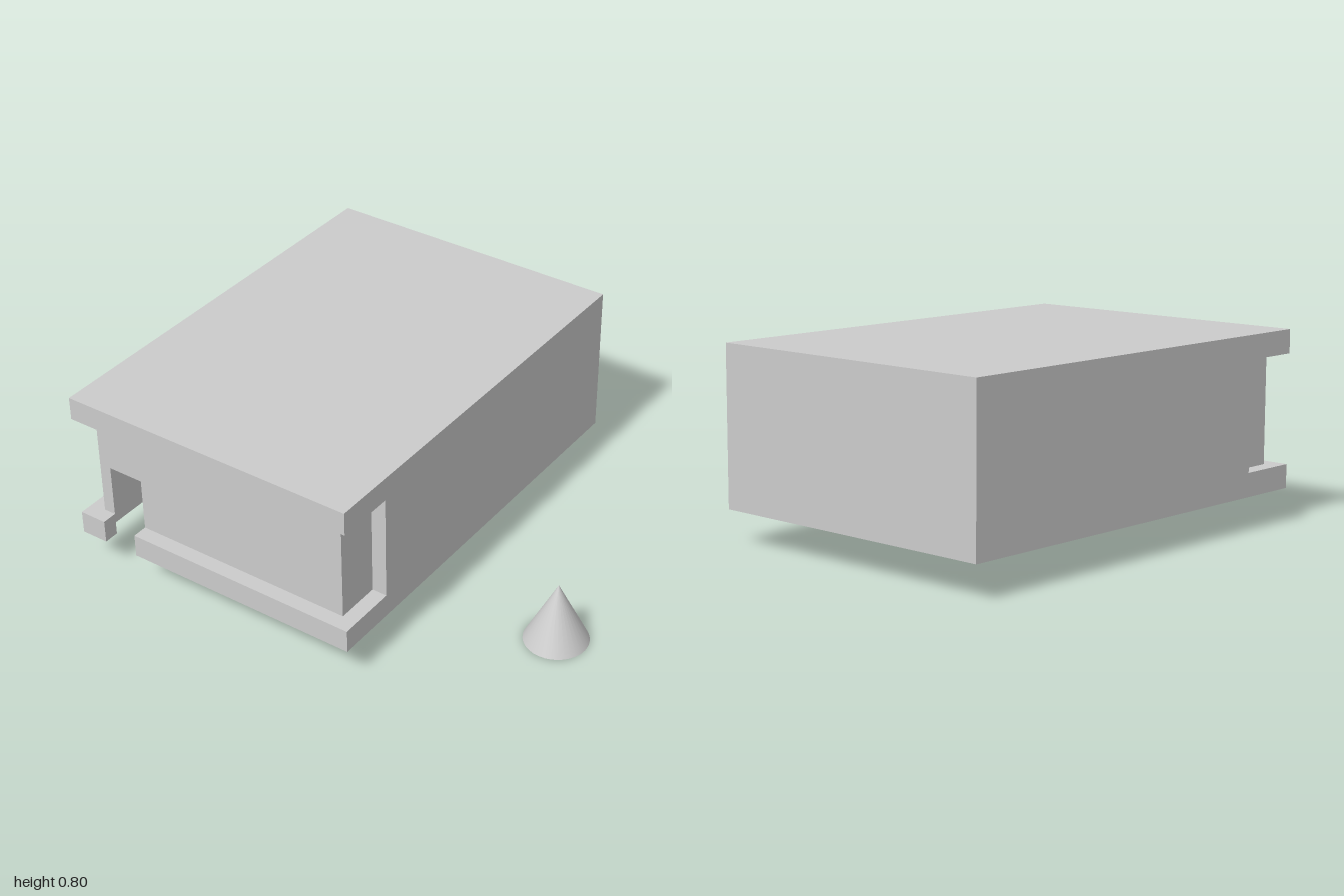
import * as THREE from 'three';

const grey = new THREE.MeshStandardMaterial({ color: 0xcccccc });
const thin = new THREE.MeshStandardMaterial({ color: 0xcccccc, side: THREE.DoubleSide });

// Main levels and wall lines
const Y0 = 0.14, YL = 0.24, YC = 0.7, YT = 0.8;
const XL = -1, XR = 0.333, ZF = 0.933, ZB = -0.933;   // outer walls
const IL = -0.933, IR = 0.267, IF = 0.867, IB = -0.8; // inner walls
const ZN = 0.67;                                      // back end of the side windows
const D0 = -0.88, D1 = -0.72, DT = 0.47;              // doorway

export function createModel() {
  const group = new THREE.Group();

  const add = (name, geo, x = 0, y = 0, z = 0, mat = grey, parent = group) => {
    const mesh = new THREE.Mesh(geo, mat);
    mesh.name = name;
    mesh.position.set(x, y, z);
    parent.add(mesh);
    return mesh;
  };
  const box = (name, x0, x1, y0, y1, z0, z1) =>
    add(name, new THREE.BoxGeometry(x1 - x0, y1 - y0, z1 - z0),
      (x0 + x1) / 2, (y0 + y1) / 2, (z0 + z1) / 2);
  const polygon = (pts) => new THREE.Shape(pts.map(([x, y]) => new THREE.Vector2(x, y)));

  // Upright sheet following a path of [x, z] points
  const wall = (name, path, y0, y1) => {
    const pos = [];
    for (let i = 0; i < path.length - 1; i++) {
      const [ax, az] = path[i], [bx, bz] = path[i + 1];
      pos.push(ax, y0, az, ax, y1, az, bx, y1, bz, ax, y0, az, bx, y1, bz, bx, y0, bz);
    }
    const geo = new THREE.BufferGeometry();
    geo.setAttribute('position', new THREE.Float32BufferAttribute(pos, 3));
    geo.computeVertexNormals();
    add(name, geo, 0, 0, 0, thin);
  };

  // Roof slab, overhanging the recessed front
  box('roof', XL, XR, YC, YT, ZB, ZF);

  // Outer walls with the recessed corners, and the lower band around them
  wall('outerWalls', [[IR, IF], [IR, ZN], [XR, ZN], [XR, ZB], [XL, ZB], [XL, ZN], [IL, ZN], [IL, IF]], YL, YC);
  wall('baseBand', [[D1, IF], [D1, ZF], [XR, ZF], [XR, ZB], [XL, ZB], [XL, ZF], [D0, ZF], [D0, IF]], Y0, YL);

  // Inner room walls
  wall('innerWalls', [[IR, IF], [IR, IB], [IL, IB], [IL, IF]], Y0, YC);

  // Front panel with the doorway
  const panel = polygon([[IL, Y0], [D0, Y0], [D0, DT], [D1, DT], [D1, Y0], [IR, Y0], [IR, YC], [IL, YC]]);
  add('frontPanel', new THREE.ShapeGeometry(panel), 0, 0, IF, thin);

  // Ledges on either side of the doorway
  const ledges = {
    leftLedge: [[D1, IF], [IR, IF], [IR, ZN], [XR, ZN], [XR, ZF], [D1, ZF]],
    rightLedge: [[D0, IF], [D0, ZF], [XL, ZF], [XL, ZN], [IL, ZN], [IL, IF]],
  };
  for (const [name, pts] of Object.entries(ledges)) {
    add(name, new THREE.ShapeGeometry(polygon(pts)).rotateX(Math.PI / 2), 0, YL, 0, thin);
  }

  // Service counter with a sloped front
  const counter = polygon([[-0.06, Y0], [-0.06, 0.24], [-0.15, 0.36], [-0.333, 0.36], [-0.333, Y0]]);
  add('serviceCounter',
    new THREE.ExtrudeGeometry(counter, { depth: 0.59, bevelEnabled: false }).rotateY(-Math.PI / 2), -0.333);

  // Window bar along the front and the left wall
  box('frontBar', -0.64, IR, 0.285, 0.3, 0.79, IF);
  box('sideBar', 0.19, IR, 0.285, 0.3, 0.33, 0.79);
  const leg = new THREE.CylinderGeometry(0.007, 0.007, 0.145, 8);
  for (const [x, z] of [[-0.55, 0.84], [-0.17, 0.84], [0.24, 0.84], [0.24, 0.38]]) {
    add('barLeg', leg, x, Y0 + 0.0725, z);
  }

  // Stools in front of the bar
  const seat = new THREE.CylinderGeometry(0.033, 0.033, 0.015, 16);
  const post = new THREE.CylinderGeometry(0.007, 0.007, 0.085, 8);
  for (const [x, z] of [[-0.57, 0.77], [-0.38, 0.77], [-0.19, 0.77], [0, 0.77], [0.18, 0.58], [0.18, 0.4]]) {
    const stool = new THREE.Group();
    stool.name = 'stool';
    stool.position.set(x, Y0, z);
    group.add(stool);
    add('stoolSeat', seat, 0, 0.0875, 0, grey, stool);
    add('stoolPost', post, 0, 0.0425, 0, grey, stool);
  }

  // Free-standing cone beside the building
  add('cone', new THREE.ConeGeometry(0.133, 0.267, 32), 0.867, 0.1335, 0.267);

  return group;
}
